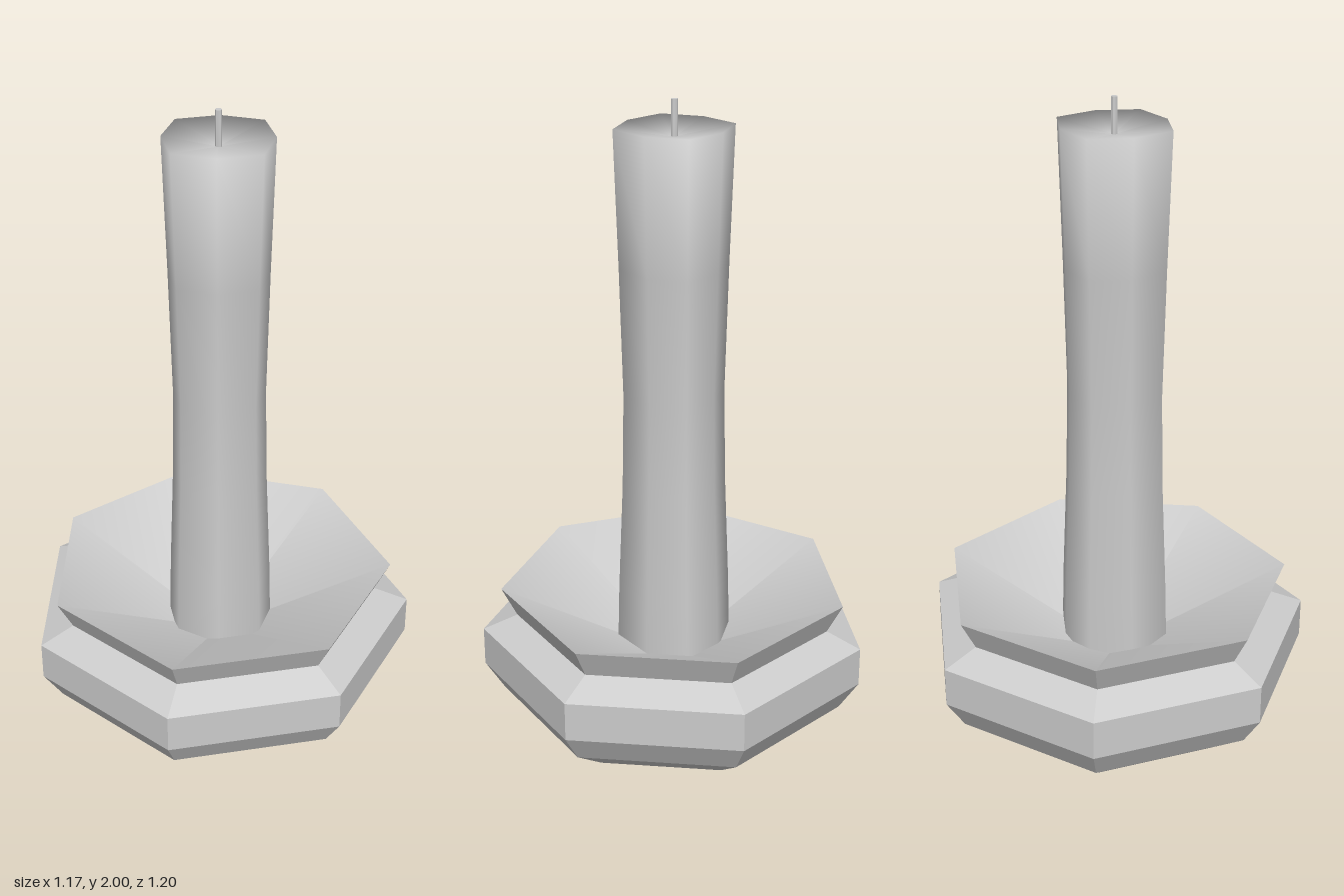
import * as THREE from 'three';

const AXIS_X = -0.03; // centres the seven-sided base between its corner and its flat

function lathe(name, profile, sides, phiStart, flatShading = false) {
  const points = profile.map(([r, y]) => new THREE.Vector2(r, y));
  const mesh = new THREE.Mesh(
    new THREE.LatheGeometry(points, sides, phiStart),
    new THREE.MeshStandardMaterial({ color: 0xcccccc, flatShading })
  );
  mesh.name = name;
  return mesh;
}

export function createModel() {
  const group = new THREE.Group();
  group.name = 'candleInHolder';

  // Faceted holder with a flared lip, one corner pointing to +x
  const holder = lathe('holder', [
    [0, 0], [0.43, 0], [0.555, 0.09], [0.616, 0.185],
    [0.616, 0.31], [0.507, 0.355], [0.555, 0.45],
  ], 7, Math.PI / 2, true);

  // Smooth funnel-shaped inside of the holder
  const bowl = lathe('bowl', [[0.555, 0.45], [0, 0.18]], 7, Math.PI / 2);

  // Waisted candle with a slightly sunken top
  const candle = lathe('candle', [
    [0.166, 0.2], [0.16, 0.45], [0.147, 0.8], [0.142, 1.1],
    [0.151, 1.5], [0.163, 1.92], [0, 1.89],
  ], 8, 0);
  // Push the diagonal corners out for a squarish octagon
  const pos = candle.geometry.attributes.position;
  for (let i = 0; i < pos.count; i++) {
    const x = pos.getX(i), z = pos.getZ(i);
    if (Math.min(Math.abs(x), Math.abs(z)) > 0.05) {
      pos.setX(i, x * 1.12);
      pos.setZ(i, z * 1.12);
    }
  }

  // Wick
  const wick = lathe('wick', [[0.01, 1.88], [0.01, 2], [0, 2]], 8, 0, true);

  group.add(holder, bowl, candle, wick);
  for (const part of group.children) part.position.x = AXIS_X;
  candle.position.x = wick.position.x = -0.027;
  return group;
}
